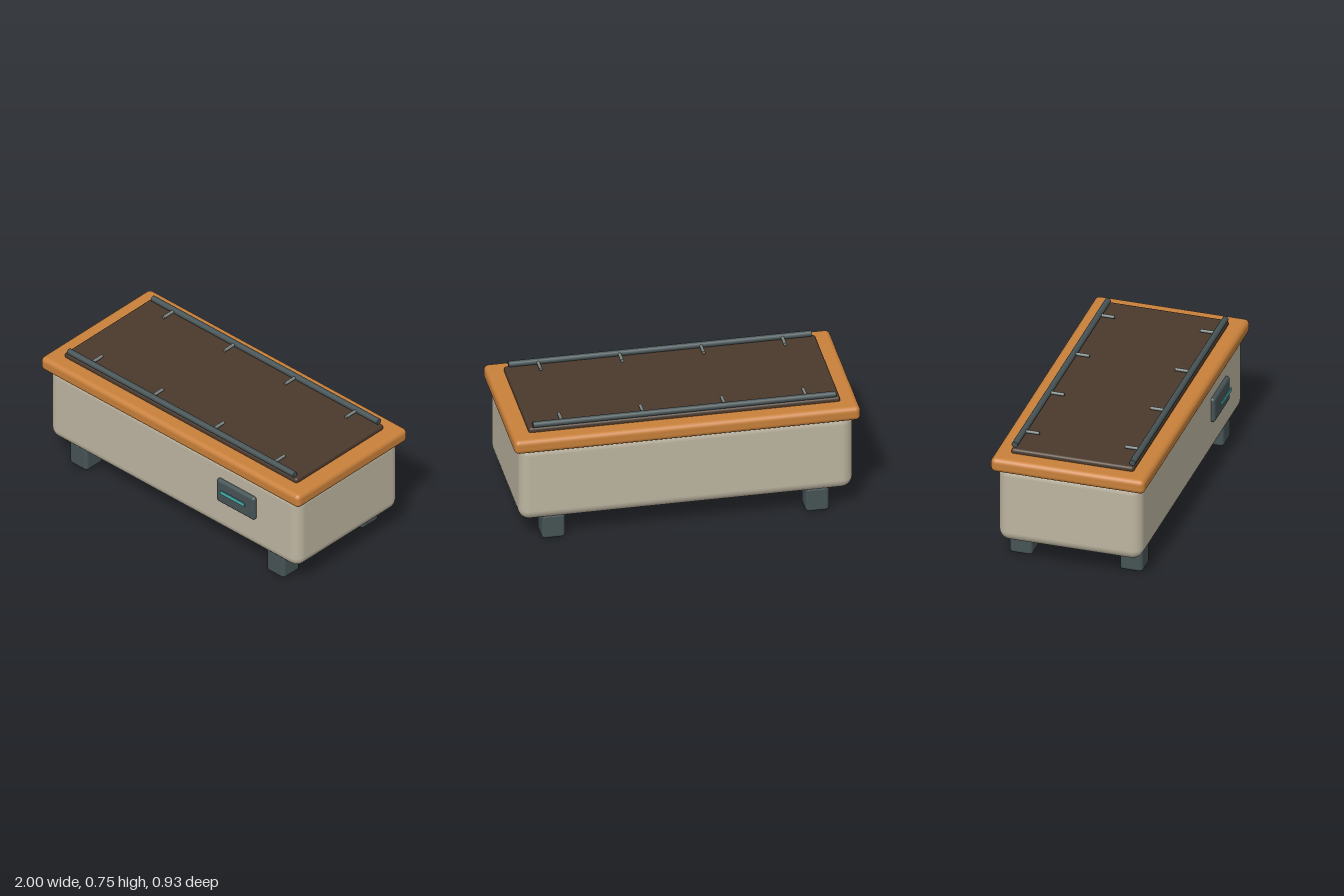
import * as THREE from 'three';
import { RoundedBoxGeometry } from 'three/addons/geometries/RoundedBoxGeometry.js';

const CENTER_Z = -0.0075; // the tub sits slightly behind the origin

const paint = (color) => new THREE.MeshStandardMaterial({ color });
const materials = {
  shell: paint(0xbdb5a1),
  rim: paint(0xc8803a),
  soil: paint(0x4b392c),
  dark: paint(0x465355),
  nozzle: paint(0x78827f),
  light: paint(0x45b0ad),
};

// Rounded box given by its minimum and maximum corners
function roundedBlock(name, min, max, radius, material, segments = 3) {
  const size = max.map((v, i) => v - min[i]);
  const mesh = new THREE.Mesh(new RoundedBoxGeometry(...size, segments, radius), material);
  mesh.position.set(...max.map((v, i) => (v + min[i]) / 2));
  mesh.name = name;
  return mesh;
}

// Cylinder lying along x or z
function rod(name, radius, length, axis, material) {
  const geometry = new THREE.CylinderGeometry(radius, radius, length, 16);
  if (axis === 'x') geometry.rotateZ(Math.PI / 2);
  else geometry.rotateX(Math.PI / 2);
  const mesh = new THREE.Mesh(geometry, material);
  mesh.name = name;
  return mesh;
}

export function createModel() {
  const model = new THREE.Group();
  model.name = 'planter';

  // Tub, overhanging rim and soil bed
  model.add(
    roundedBlock('tub', [-0.965, 0.14, -0.435], [0.965, 0.63, 0.42], 0.065, materials.shell),
    roundedBlock('rim', [-1, 0.6, -0.465], [1, 0.688, 0.45], 0.03, materials.rim),
    roundedBlock('soil', [-0.9, 0.66, -0.372], [0.9, 0.715, 0.356], 0.016, materials.soil),
  );

  // Feet
  const feet = new THREE.Group();
  feet.name = 'feet';
  for (const sx of [-1, 1]) {
    for (const sz of [-1, 1]) {
      const x = sx * 0.762, z = CENTER_Z + sz * 0.3275;
      feet.add(roundedBlock('foot', [x - 0.068, 0, z - 0.068], [x + 0.068, 0.155, z + 0.068], 0.02, materials.dark));
    }
  }
  model.add(feet);

  // Watering pipes with nozzles pointing inward
  for (const side of [1, -1]) {
    const line = new THREE.Group();
    line.name = side > 0 ? 'frontWateringLine' : 'backWateringLine';
    line.position.set(0, 0.73, CENTER_Z + side * 0.349);
    line.add(rod('pipe', 0.018, 1.75, 'x', materials.dark));
    for (let i = 0; i < 4; i++) {
      const nozzle = rod('nozzle', 0.0095, 0.094, 'z', materials.nozzle);
      nozzle.position.set(-0.706 + i * 0.4705, 0, -side * 0.047);
      line.add(nozzle);
    }
    model.add(line);
  }

  // Control panel and the light bar standing off in front of it
  model.add(
    roundedBlock('controlPanel', [0.356, 0.346, 0.395], [0.65, 0.502, 0.443], 0.018, materials.dark),
    roundedBlock('lightBar', [0.409, 0.432, 0.46], [0.599, 0.457, 0.467], 0.003, materials.light, 2),
  );

  return model;
}
